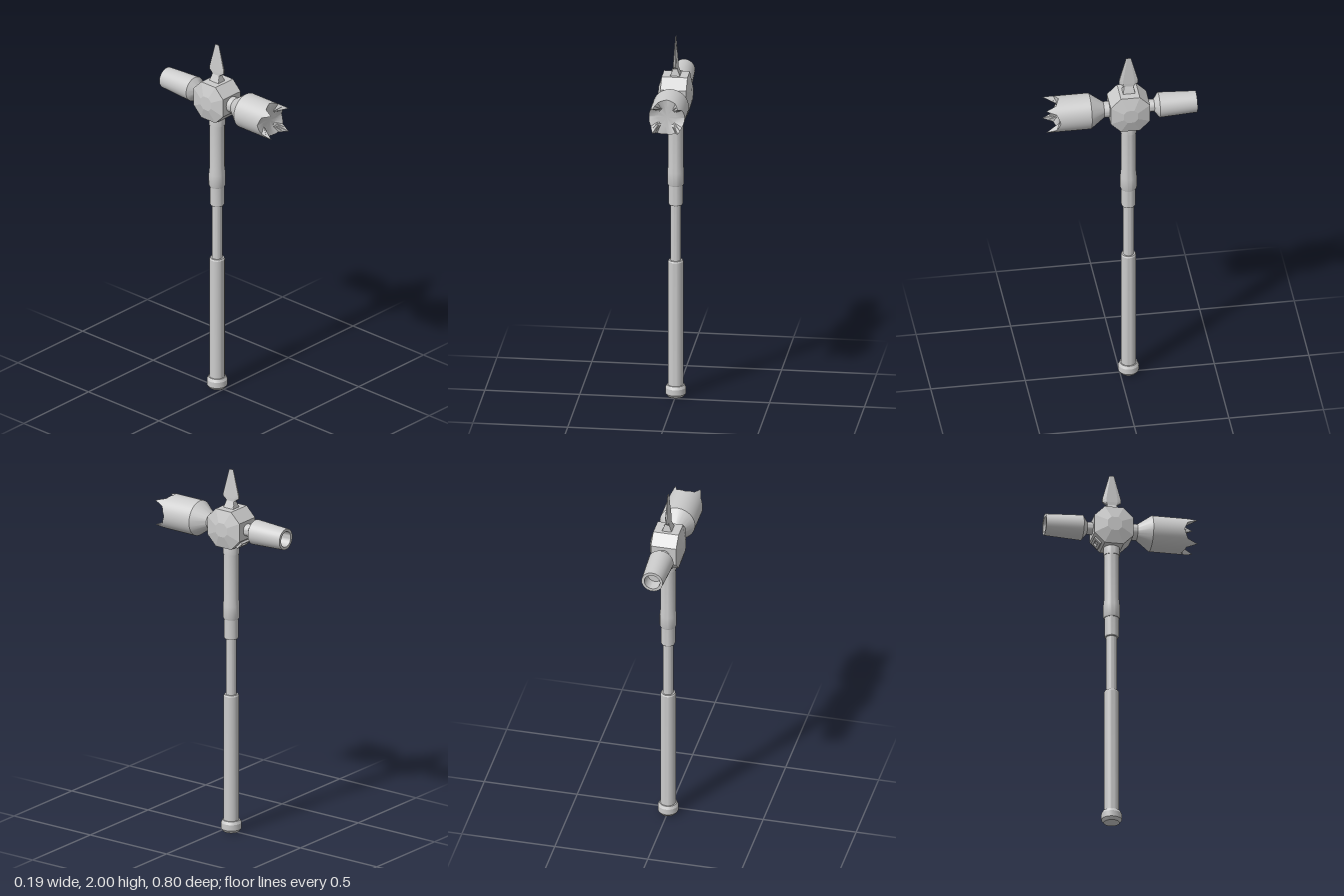
import * as THREE from 'three';
import { toCreasedNormals } from 'three/addons/utils/BufferGeometryUtils.js';

const AXIS_Z = -0.046; // handle and head centre line
const HEAD_Y = 1.687;
const material = new THREE.MeshStandardMaterial({ color: 0xcccccc });

function addPart(group, name, geometry) {
  const mesh = new THREE.Mesh(geometry, material);
  mesh.name = name;
  group.add(mesh);
  return mesh;
}

// Turned part from [radius, height] pairs, with sharp edges kept
function lathe(pairs, segments) {
  return new THREE.LatheGeometry(pairs.map(([r, y]) => new THREE.Vector2(r, y)), segments);
}
const crease = (geometry) => toCreasedNormals(geometry, 0.45);

// Flat-shaded skin over matching loops of points, capped at both ends
function loft(rings) {
  const pos = [];
  const tri = (...pts) => pts.forEach((p) => pos.push(...p));
  const n = rings[0].length;
  for (let k = 0; k < rings.length - 1; k++) {
    const a = rings[k], b = rings[k + 1];
    for (let i = 0; i < n; i++) {
      const j = (i + 1) % n;
      tri(a[i], a[j], b[j]);
      tri(a[i], b[j], b[i]);
    }
  }
  const first = rings[0], last = rings[rings.length - 1];
  for (let i = 1; i < n - 1; i++) {
    tri(first[0], first[i + 1], first[i]);
    tri(last[0], last[i], last[i + 1]);
  }
  const geometry = new THREE.BufferGeometry();
  geometry.setAttribute('position', new THREE.Float32BufferAttribute(pos, 3));
  geometry.computeVertexNormals();
  return geometry;
}

// Octagonal block with shallow bevelled cheeks
function headBlock() {
  const h = 0.104, f = 0.05;
  const octagon = [[h, -f], [h, f], [f, h], [-f, h], [-h, f], [-h, -f], [-f, -h], [f, -h]];
  const sections = [[-0.088, 0.36], [-0.068, 1], [0.068, 1], [0.088, 0.36]];
  return loft(sections.map(([x, s]) => octagon.map(([y, z]) => [x, y * s, z * s])));
}

// Spear point: height, half width, edge half width, inner and outer half depth
function spike() {
  const sections = [
    [1.785, 0.028, 0.028, 0.032, 0.033],
    [1.828, 0.011, 0.008, 0.024, 0.026],
    [1.845, 0.011, 0.004, 0.03, 0.05],
    [1.862, 0.01, 0.004, 0.03, 0.05],
    [2.0, 0.002, 0.001, 0.007, 0.013],
  ];
  return loft(sections.map(([y, w, e, zi, zo]) => [
    [e, y, zo], [w, y, zi], [w, y, -zi], [e, y, -zo],
    [-e, y, -zo], [-w, y, -zi], [-w, y, zi], [-e, y, zo],
  ]));
}

// Striking head whose rim rises into four claws on the diagonals
function clawHead() {
  const geometry = lathe([
    [0.043, 0.04], [0.043, 0.087], [0.095, 0.16], [0.095, 0.325], [0.05, 0.325], [0, 0.325],
  ], 48);
  const p = geometry.attributes.position;
  for (let i = 0; i < p.count; i++) {
    const x = p.getX(i), z = p.getZ(i), r = Math.hypot(x, z);
    if (r < 0.09 || p.getY(i) < 0.3) continue;
    const quarter = Math.PI / 2;
    const angle = (Math.atan2(x, z) + 4 * quarter) % quarter;
    const d = Math.abs(THREE.MathUtils.radToDeg(angle) - 45);
    const rise = d < 15 ? 0.02 + 0.055 * (1 - d / 15) : 0.02 * (45 - d) / 30;
    p.setY(i, 0.325 + rise);
  }
  geometry.rotateX(Math.PI / 2);
  return crease(geometry);
}

// Rectangular frame with a slot
function slottedPlate() {
  const rect = (Type, w, h) => new Type([
    new THREE.Vector2(-w, -h), new THREE.Vector2(w, -h),
    new THREE.Vector2(w, h), new THREE.Vector2(-w, h),
  ]);
  const shape = rect(THREE.Shape, 0.04, 0.023);
  shape.holes.push(rect(THREE.Path, 0.026, 0.01));
  return new THREE.ExtrudeGeometry(shape, { depth: 0.016, bevelEnabled: false });
}

export function createModel() {
  const model = new THREE.Group();
  model.name = 'warHammer';

  // Handle, bottom to top
  const handle = new THREE.Group();
  handle.name = 'handle';
  handle.position.z = AXIS_Z;
  model.add(handle);
  const turned = {
    pommel: [[0, 0], [0.042, 0], [0.054, 0.016], [0.054, 0.048], [0.046, 0.064], [0, 0.064]],
    grip: [[0.04, 0.06], [0.04, 0.75], [0.036, 0.758], [0, 0.758]],
    shaft: [[0.028, 0.75], [0.028, 1.075]],
    lowerCollar: [[0, 1.067], [0.035, 1.067], [0.038, 1.073], [0.038, 1.18]],
    upperSleeve: [[0, 1.177], [0.041, 1.177], [0.044, 1.184], [0.044, 1.25], [0.04, 1.29], [0.04, 1.54]],
    topCollar: [[0, 1.537], [0.043, 1.537], [0.043, 1.575], [0.038, 1.6]],
  };
  for (const [name, profile] of Object.entries(turned)) {
    addPart(handle, name, crease(lathe(profile, 32)));
  }

  // Head block with spike and plate
  addPart(model, 'headBlock', headBlock()).position.set(0, HEAD_Y, AXIS_Z);
  addPart(model, 'topSpike', spike()).position.z = AXIS_Z;
  const plate = addPart(model, 'slottedPlate', slottedPlate());
  plate.position.set(0, HEAD_Y - 0.074, AXIS_Z - 0.074);
  plate.rotation.x = Math.PI * 0.75;

  // Front striking head
  addPart(model, 'clawHead', clawHead()).position.y = HEAD_Y;

  // Back striking head with a hollow end
  const back = lathe([
    [0.033, 0.14], [0.033, 0.18], [0.067, 0.205], [0.057, 0.404],
    [0.042, 0.404], [0.038, 0.34], [0, 0.34],
  ], 32);
  back.rotateX(-Math.PI / 2);
  addPart(model, 'hollowHead', crease(back)).position.y = HEAD_Y;

  return model;
}
